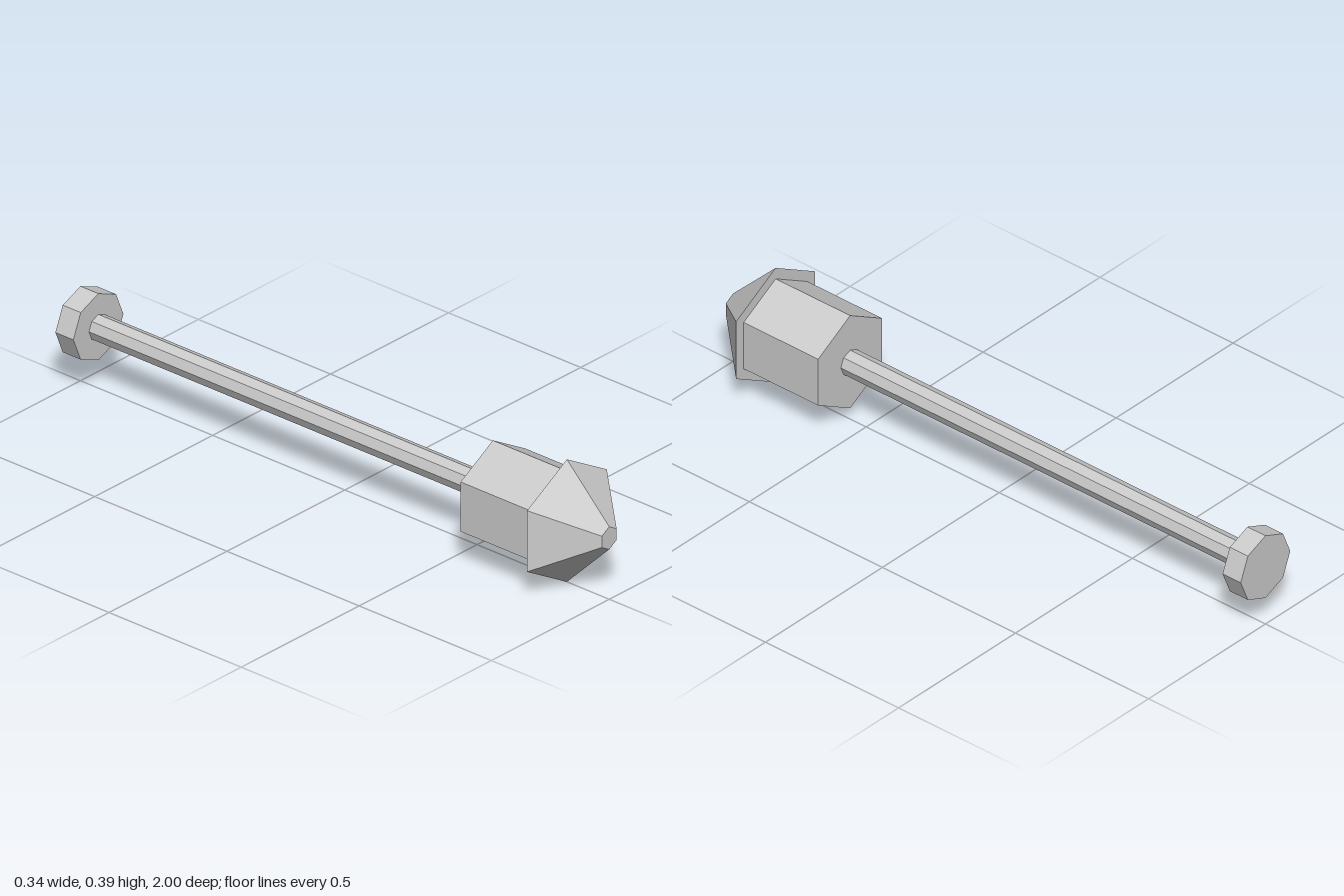
import * as THREE from 'three';

const AXIS_Y = 0.195; // height of the long axis

export function createModel() {
  const group = new THREE.Group();
  const material = new THREE.MeshStandardMaterial({ color: 0xcccccc, flatShading: true });

  // Prism or frustum along z, with a corner pointing straight up
  function addPrism(name, sides, zBack, zFront, radiusBack, radiusFront = radiusBack) {
    const geometry = new THREE.CylinderGeometry(radiusFront, radiusBack, zFront - zBack, sides);
    geometry.rotateX(Math.PI / 2);
    const mesh = new THREE.Mesh(geometry, material);
    mesh.name = name;
    mesh.position.set(0, AXIS_Y, (zBack + zFront) / 2);
    group.add(mesh);
  }

  addPrism('pommel', 8, -1, -0.932, 0.106);
  addPrism('shaft', 8, -0.932, 0.56, 0.04);
  addPrism('headBody', 6, 0.56, 0.84, 0.158);
  addPrism('headTip', 6, 0.84, 1, 0.195, 0.036);

  return group;
}
